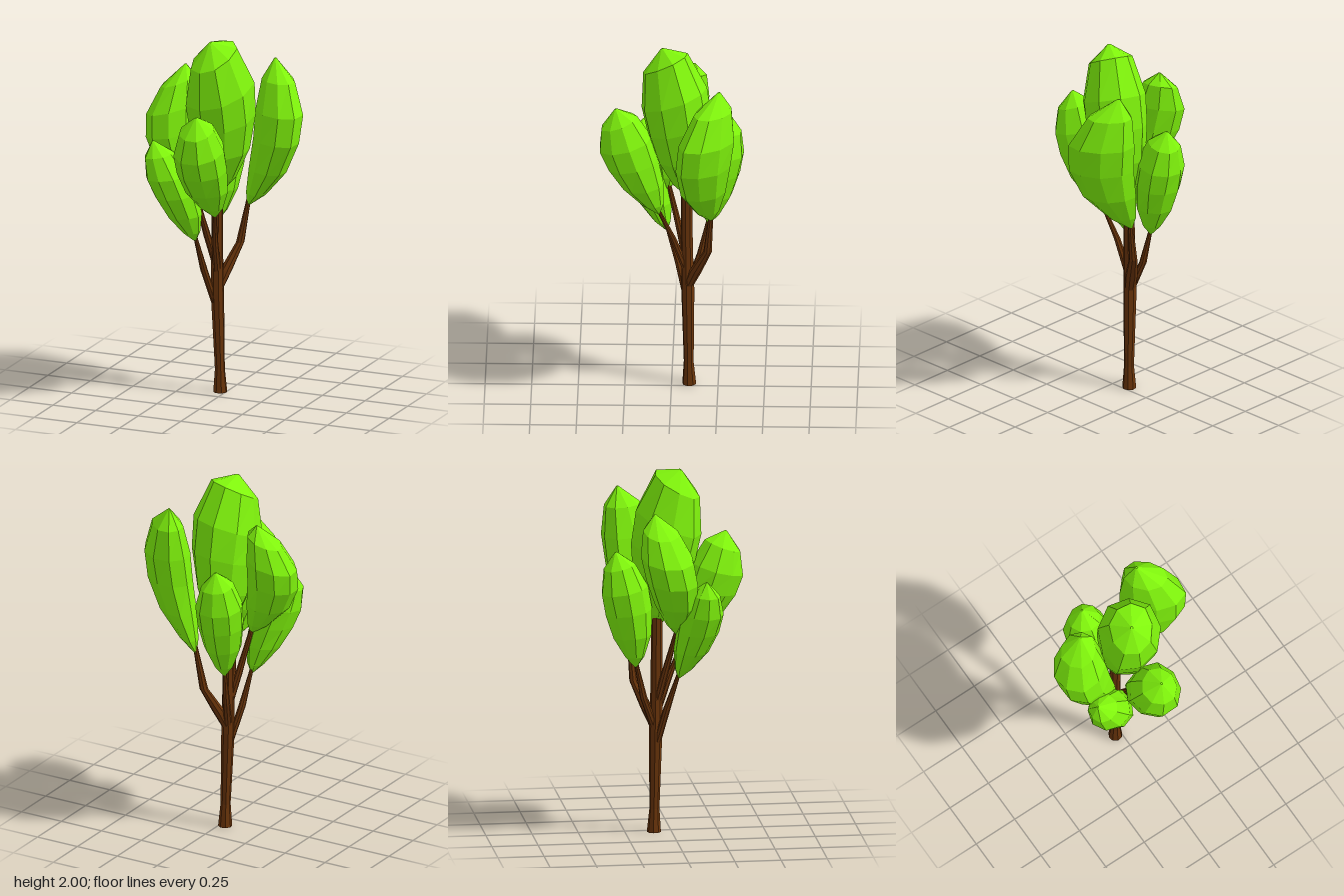
import * as THREE from 'three';

// Skin over rings of points, all the same length, closed at both ends
function skin(rings) {
  const sides = rings[0].length, n = rings.length;
  const centre = (ring) => ring.reduce((s, p) => s.add(p), new THREE.Vector3()).divideScalar(sides);
  const points = [...rings.flat(), centre(rings[0]), centre(rings[n - 1])];
  const bottom = n * sides, top = bottom + 1, idx = [];
  for (let j = 0; j < sides; j++) {
    const k = (j + 1) % sides;
    for (let i = 0; i < n - 1; i++) {
      const a = i * sides + j, b = i * sides + k;
      idx.push(a, a + sides, b, b, a + sides, b + sides);
    }
    idx.push(bottom, j, k, top, (n - 1) * sides + k, (n - 1) * sides + j);
  }
  const geo = new THREE.BufferGeometry().setFromPoints(points);
  geo.setIndex(idx);
  geo.computeVertexNormals();
  return geo;
}

// Tapering limb from rings [x, y, z, radius]
function limbGeometry(rings, sides = 8) {
  return skin(rings.map(([x, y, z, r]) => Array.from({ length: sides }, (_, j) => {
    const a = (j / sides) * Math.PI * 2 + 0.2;
    return new THREE.Vector3(x + Math.cos(a) * r, y, z + Math.sin(a) * r);
  })));
}

const SIDES = 9;

// Leaf clump bulging from foot through belly to tip; tilt slopes the upper rings,
// wide and narrow are the radii along and across the x = z diagonal,
// shoulder is the height fraction of the last full ring
function clumpGeometry({ foot, belly, tip, wide, narrow = wide, tilt = [0, 0], shoulder = 0.87 }, seed) {
  // outline: [fraction of height, fraction of radius]
  const outline = [[0, 0.06], [0.09, 0.41], [0.27, 0.8], [0.48, 0.98], [0.67, 1], [shoulder, 0.68], [1, 0.04]];
  const s = (belly[1] - foot[1]) / (tip[1] - foot[1]);
  const at = (c, t) => {
    const rise = tip[c] - foot[c];
    const bulge = (belly[c] - foot[c] - s * rise) / (s * (1 - s));
    return foot[c] + t * rise + bulge * t * (1 - t);
  };
  return skin(outline.map(([t, k], i) => Array.from({ length: SIDES }, (_, j) => {
    const a = (j / SIDES) * Math.PI * 2 + seed;
    const w = k * (1.015 + 0.03 * Math.sin(seed * 7.3 + i * 1.1 + j * 2.4));
    const u = Math.cos(a) * wide * w, v = Math.sin(a) * narrow * w;
    const dx = (u - v) * Math.SQRT1_2, dz = (u + v) * Math.SQRT1_2;
    const y = at(1, t) + t * (tilt[0] * dx + tilt[1] * dz);
    return new THREE.Vector3(at(0, t) + dx, y, at(2, t) + dz);
  })));
}

const CLUMPS = [
  { name: 'crownClump', foot: [-0.02, 1.13, -0.08], belly: [0.008, 1.6, -0.03], tip: [-0.025, 1.995, 0.052],
    wide: 0.17, narrow: 0.182, tilt: [0.25, -0.55], shoulder: 0.905 },
  { name: 'leftClump', foot: [0.083, 1.03, -0.215], belly: [0.274, 1.53, -0.187], tip: [0.22, 1.855, -0.26],
    wide: 0.178, narrow: 0.12 },
  { name: 'backClump', foot: [-0.09, 0.93, -0.2], belly: [-0.097, 1.32, -0.257], tip: [-0.1, 1.57, -0.31],
    wide: 0.126, tilt: [0, 0.25] },
  { name: 'rightClump', foot: [-0.13, 1.11, 0.02], belly: [-0.291, 1.49, -0.034], tip: [-0.245, 1.805, -0.115],
    wide: 0.14, tilt: [0.4, -0.1] },
  { name: 'lowClump', foot: [-0.125, 0.87, 0.03], belly: [-0.213, 1.19, 0.132], tip: [-0.315, 1.44, 0.155],
    wide: 0.115, tilt: [0.2, -0.1] },
  { name: 'frontClump', foot: [0.01, 1.03, 0.07], belly: [-0.005, 1.39, 0.232], tip: [0, 1.645, 0.3],
    wide: 0.14, tilt: [0, -0.42] },
];

// Trunk and branches as tapering rings [x, y, z, radius]
const WOOD = {
  trunk: [[-0.031, 0, -0.095, 0.038], [-0.032, 0.13, -0.092, 0.027], [-0.044, 0.55, -0.087, 0.036],
    [-0.044, 0.8, -0.083, 0.032], [-0.04, 1.2, -0.08, 0.03]],
  leftBranch: [[-0.04, 0.58, -0.09, 0.028], [-0.01, 0.68, -0.13, 0.034], [0.042, 0.82, -0.195, 0.023],
    [0.085, 1.07, -0.215, 0.012]],
  lowBranch: [[-0.055, 0.5, -0.08, 0.02], [-0.1, 0.69, -0.035, 0.02], [-0.125, 0.9, 0.03, 0.01]],
  rightBranch: [[-0.05, 0.72, -0.08, 0.022], [-0.085, 0.88, -0.045, 0.02], [-0.135, 1.15, 0.02, 0.012]],
  frontBranch: [[-0.04, 0.68, -0.075, 0.022], [-0.025, 0.86, -0.01, 0.018], [0.01, 1.06, 0.075, 0.01]],
  backBranch: [[-0.045, 0.56, -0.085, 0.022], [-0.075, 0.75, -0.155, 0.02], [-0.09, 0.96, -0.2, 0.01]],
};

export function createModel() {
  const tree = new THREE.Group();
  tree.name = 'tree';
  const bark = new THREE.MeshStandardMaterial({ color: 0x69340a, flatShading: true });
  const leaf = new THREE.MeshStandardMaterial({ color: 0x80f50c, flatShading: true });
  const add = (name, geo, mat) => {
    const mesh = new THREE.Mesh(geo, mat);
    mesh.name = name;
    tree.add(mesh);
  };
  for (const [name, rings] of Object.entries(WOOD)) add(name, limbGeometry(rings), bark);
  CLUMPS.forEach((c, i) => add(c.name, clumpGeometry(c, i + 1), leaf));
  return tree;
}
